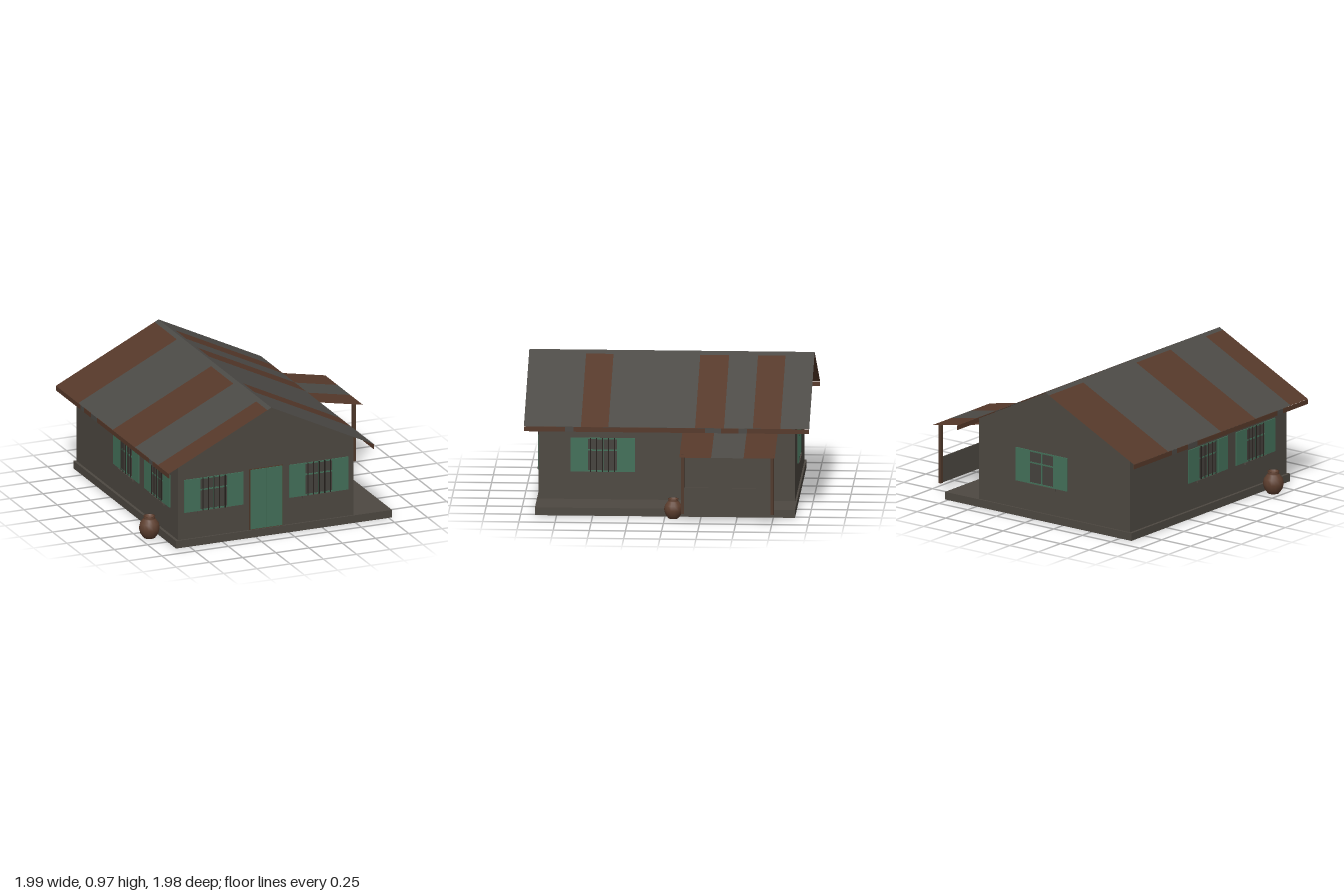
import * as THREE from 'three';

const mat = (name, color, side = THREE.FrontSide) => {
  const m = new THREE.MeshStandardMaterial({ color, side });
  m.name = name;
  return m;
};

export function createModel() {
  const wall = mat('weathered plaster', 0x4d4841);
  const sheet = mat('grey metal sheet', 0x4c4a46, THREE.DoubleSide);
  const rust = mat('rusty metal sheet', 0x56392a, THREE.DoubleSide);
  const green = mat('green paint', 0x437059);
  const glass = mat('dark pane', 0x45423d);
  const iron = mat('dark iron', 0x2b2521);
  const wood = mat('brown timber', 0x50392b);
  const clay = mat('fired clay', 0x5f4030);

  const house = new THREE.Group();
  house.name = 'house';

  const add = (parent, name, geometry, material) => {
    const mesh = new THREE.Mesh(geometry, material);
    mesh.name = name;
    parent.add(mesh);
    return mesh;
  };
  // Box given by its minimum and maximum on each axis
  const box = (parent, name, material, x0, x1, y0, y1, z0, z1) => {
    const mesh = add(parent, name, new THREE.BoxGeometry(x1 - x0, y1 - y0, z1 - z0), material);
    mesh.position.set((x0 + x1) / 2, (y0 + y1) / 2, (z0 + z1) / 2);
    return mesh;
  };
  // Flat strip spanning from edge a to edge b (a left of b), between two depths
  const strip = (parent, name, material, a, b, z0, z1) => {
    const g = new THREE.BufferGeometry();
    g.setAttribute('position', new THREE.Float32BufferAttribute(
      [a[0], a[1], z0, a[0], a[1], z1, b[0], b[1], z1, b[0], b[1], z0], 3));
    g.setIndex([0, 1, 2, 0, 2, 3]);
    g.computeVertexNormals();
    return add(parent, name, g, material);
  };
  // Rows of strips: cuts along z, alternating the two materials
  const stripes = (parent, name, a, b, cuts, startRusty) => {
    for (let i = 0; i + 1 < cuts.length; i++) {
      const rusty = (i % 2 === 0) === startRusty;
      strip(parent, name, rusty ? rust : sheet, a, b, cuts[i], cuts[i + 1]);
    }
  };

  // Plinth and gabled walls
  box(house, 'plinth', wall, -0.85, 0.775, 0, 0.055, -0.9, 0.9);
  const gable = new THREE.Shape();
  gable.moveTo(-0.83, 0.055);
  gable.lineTo(0.49, 0.055);
  gable.lineTo(0.49, 0.635);
  gable.lineTo(-0.17, 0.957);
  gable.lineTo(-0.83, 0.635);
  gable.closePath();
  const body = add(house, 'walls',
    new THREE.ExtrudeGeometry(gable, { depth: 1.775, bevelEnabled: false }), wall);
  body.position.z = -0.8875;

  // Main roof with rusted sheets and a plain ridge cap
  const roof = new THREE.Group();
  roof.name = 'roof';
  house.add(roof);
  const ridge = -0.17, top = 0.967, slope = 0.49;
  const at = (x) => [x, top - Math.abs(x - ridge) * slope];
  stripes(roof, 'leftRoofSheet', at(-0.94), at(-0.2), [-0.99, -0.6, 0, 0.39, 0.79, 0.985], true);
  stripes(roof, 'rightRoofSheet', at(-0.13), at(0.6),
    [-0.99, -0.79, -0.6, -0.4, -0.2, 0.4, 0.59, 0.985], false);
  strip(roof, 'ridgeCapLeft', sheet, at(-0.2), at(ridge), -0.99, 0.985);
  strip(roof, 'ridgeCapRight', sheet, at(ridge), at(-0.13), -0.99, 0.985);

  // Eave boards, rusty with a few bare patches
  const eaveCuts = [-0.99, -0.56, -0.5, -0.38, -0.27, 0.64, 0.7, 0.985];
  for (const x of [-0.94, 0.6]) {
    for (let i = 0; i + 1 < eaveCuts.length; i++) {
      box(roof, 'eaveBoard', i % 2 ? sheet : rust, x - 0.002, x + 0.002, 0.555, 0.588,
        eaveCuts[i], eaveCuts[i + 1]);
    }
  }

  // Side porch: sloping sheets, two posts and a low screen
  const porch = new THREE.Group();
  porch.name = 'porch';
  house.add(porch);
  stripes(porch, 'porchRoofSheet', [0.49, 0.562], [0.99, 0.465], [-0.77, -0.555, -0.33, -0.11], true);
  for (const z of [-0.75, -0.13]) {
    box(porch, 'porchPost', wood, 0.918, 0.94, 0.055, 0.475, z - 0.011, z + 0.011);
  }
  box(porch, 'porchScreen', wall, 0.925, 0.933, 0.055, 0.24, -0.74, -0.14);

  // Double door with a timber surround
  const door = new THREE.Group();
  door.name = 'door';
  house.add(door);
  box(door, 'doorSurround', wood, -0.295, -0.042, 0.055, 0.5, 0.885, 0.891);
  box(door, 'doorLeafLeft', green, -0.166, -0.047, 0.06, 0.495, 0.889, 0.896);
  box(door, 'doorLeafRight', green, -0.287, -0.17, 0.06, 0.495, 0.889, 0.896);

  // Shuttered window facing +z, centred on its own origin
  const createWindow = (name, barred) => {
    const w = new THREE.Group();
    w.name = name;
    box(w, 'pane', glass, -0.112, 0.112, -0.12, 0.12, -0.002, 0.002);
    for (const s of [-1, 1]) {
      const x = s * 0.168, f = s * 0.107;
      box(w, 'shutter', green, x - 0.055, x + 0.055, -0.12, 0.12, -0.002, 0.007);
      box(w, 'sideFrame', green, f - 0.006, f + 0.006, -0.12, 0.12, 0, 0.006);
      box(w, 'crossFrame', green, -0.112, 0.112, s * 0.115 - 0.005, s * 0.115 + 0.005, 0, 0.006);
    }
    box(w, 'mullion', green, -0.006, 0.006, -0.12, 0.12, 0, 0.005);
    box(w, 'transom', green, -0.112, 0.112, 0.028, 0.038, 0, 0.005);
    box(w, 'sill', wall, -0.125, 0.125, -0.136, -0.12, -0.002, 0.014);
    if (barred) {
      for (let i = 0; i < 5; i++) {
        const bar = add(w, 'bar', new THREE.CylinderGeometry(0.004, 0.004, 0.24, 6), iron);
        bar.position.set(-0.084 + i * 0.042, 0, 0.009);
      }
    }
    house.add(w);
    return w;
  };
  const y = 0.37, q = Math.PI / 2;
  // x, z, turn, barred
  const windows = [
    ['frontWindow', -0.563, 0.8875, 0, true],
    ['frontWindow', 0.228, 0.8875, 0, true],
    ['rightWindow', 0.49, 0.445, q, true],
    ['leftWindow', -0.83, 0.53, -q, true],
    ['leftWindow', -0.83, -0.01, -q, true],
    ['backWindow', -0.06, -0.8875, Math.PI, false],
  ];
  for (const [name, x, z, turn, barred] of windows) {
    const w = createWindow(name, barred);
    w.position.set(x, y, z);
    w.rotation.y = turn;
  }

  // Clay pots, a hollow lathe profile scaled to size
  const profile = [[0, 0], [0.55, 0], [0.85, 0.4], [1, 0.95], [0.9, 1.45], [0.6, 1.85], [0.5, 1.95],
    [0.58, 2.15], [0.46, 2.15], [0.4, 1.9], [0, 1.85]].map(([r, h]) => new THREE.Vector2(r, h));
  for (const [x, z, r] of [[-0.927, 0.61, 0.073], [0.82, -0.06, 0.064]]) {
    const pot = add(house, 'pot', new THREE.LatheGeometry(profile, 14), clay);
    pot.scale.setScalar(r);
    pot.position.set(x, 0, z);
  }
  return house;
}
